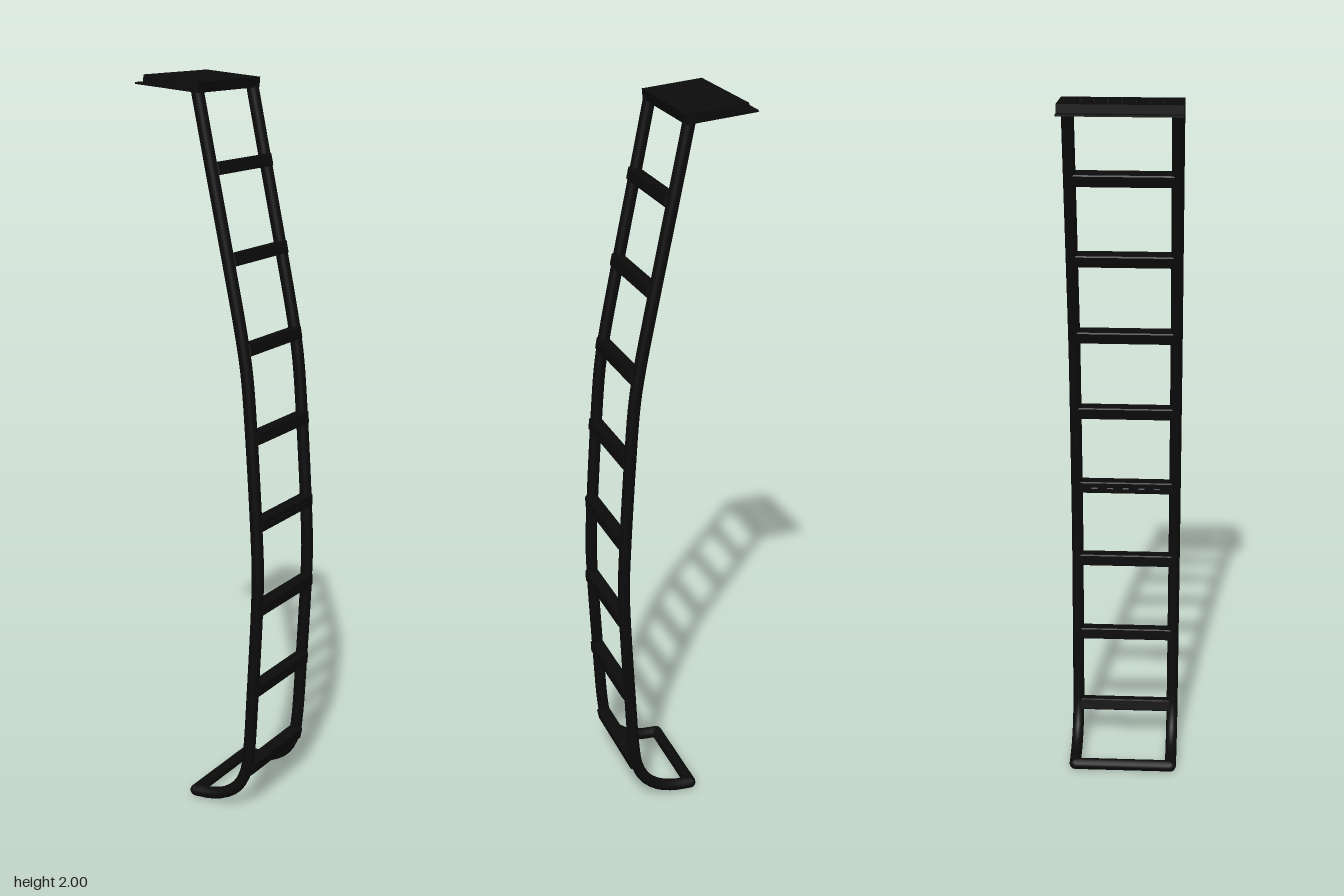
import * as THREE from 'three';

const paint = new THREE.MeshStandardMaterial({ color: 0x0b0b0b, side: THREE.DoubleSide });
const RAIL_Z = 0.141, RAIL_R = 0.0165;

function add(parent, name, geometry, x = 0, y = 0, z = 0) {
  const mesh = new THREE.Mesh(geometry, paint);
  mesh.name = name;
  mesh.position.set(x, y, z);
  parent.add(mesh);
  return mesh;
}

// Capsule-shaped hole, long in x
function slot(cx, cy, length, width) {
  const r = width / 2, h = length / 2 - r;
  const p = new THREE.Path();
  p.absarc(cx + h, cy, r, -Math.PI / 2, Math.PI / 2, false);
  p.absarc(cx - h, cy, r, Math.PI / 2, Math.PI * 1.5, false);
  p.closePath();
  return p;
}

function rectangle(x0, x1, y0, y1) {
  return new THREE.Shape([[x0, y0], [x1, y0], [x1, y1], [x0, y1]].map(([x, y]) => new THREE.Vector2(x, y)));
}

// Square bar across the ladder, optionally pierced by fine slots
function rungGeometry(pierced) {
  const shape = rectangle(-0.14, 0.14, -0.014, 0.014);
  if (pierced) for (let i = -2; i <= 2; i++) shape.holes.push(slot(i * 0.045, 0, 0.022, 0.006));
  const g = new THREE.ExtrudeGeometry(shape, {
    depth: 0.03, bevelThickness: 0.003, bevelSize: 0.003, bevelSegments: 1, curveSegments: 6,
  });
  return g.translate(0, 0, -0.015).rotateY(Math.PI / 2);
}

export function createModel() {
  const ladder = new THREE.Group();
  ladder.name = 'ladder';

  // Bowed side profile of the rails, from the platform to the curled foot
  const curve = new THREE.CatmullRomCurve3([
    [-0.018, 1.975], [0.023, 1.78], [0.075, 1.535], [0.116, 1.335], [0.132, 1.235], [0.146, 1.07],
    [0.163, 0.8], [0.167, 0.7], [0.165, 0.6], [0.153, 0.36], [0.141, 0.17], [0.132, 0.115],
    [0.108, 0.068], [0.07, 0.038], [0.025, 0.023], [-0.03, 0.0185],
  ].map(([x, y]) => new THREE.Vector3(x, y, 0)), false, 'centripetal');

  for (const side of [1, -1]) {
    const rail = side > 0 ? 'leftRail' : 'rightRail';
    add(ladder, rail, new THREE.TubeGeometry(curve, 100, RAIL_R, 12), 0, 0, side * RAIL_Z);
    add(ladder, 'footCorner', new THREE.SphereGeometry(RAIL_R, 12, 8), -0.03, 0.0185, side * RAIL_Z);
  }
  // Bar closing the foot
  const foot = new THREE.CylinderGeometry(RAIL_R, RAIL_R, RAIL_Z * 2, 12).rotateX(Math.PI / 2);
  add(ladder, 'footBar', foot, -0.03, 0.0185, 0);

  // Rungs follow the tilt of the rails
  const samples = curve.getPoints(400);
  [1.766, 1.535, 1.304, 1.07, 0.835, 0.6, 0.362, 0.127].forEach((y, i) => {
    const k = samples.findIndex((p) => p.y < y);
    const a = samples[k - 1], b = samples[k];
    const rung = add(ladder, 'rung', rungGeometry(i === 4), b.x + 0.003, y, 0);
    rung.rotation.z = Math.atan2(b.x - a.x, a.y - b.y);
    if (i === 4) rung.rotation.z = 0;
  });

  // Slightly sloping platform: slotted sheet with folded skirts
  const platform = new THREE.Group();
  platform.name = 'platform';
  platform.position.set(0, 1.984, 0);
  platform.rotation.z = -0.09;
  ladder.add(platform);

  const sheet = rectangle(-0.168, 0, -0.157, 0.157);
  for (let i = -3; i <= 3; i++) sheet.holes.push(slot(-0.087, i * 0.035, 0.07, 0.011));
  const sheetGeo = new THREE.ExtrudeGeometry(sheet, { depth: 0.007, bevelEnabled: false, curveSegments: 8 });
  add(platform, 'platformSheet', sheetGeo.rotateX(Math.PI / 2));
  for (const side of [1, -1]) {
    add(platform, 'sideSkirt', new THREE.BoxGeometry(0.168, 0.027, 0.007), -0.084, -0.0135, side * 0.1535);
  }
  for (const x of [-0.1645, -0.0035]) {
    add(platform, 'endSkirt', new THREE.BoxGeometry(0.007, 0.027, 0.314), x, -0.0135, 0);
  }
  // Thin mounting lip along the outer end
  add(platform, 'mountingLip', new THREE.BoxGeometry(0.026, 0.005, 0.314), -0.179, -0.0245, 0);

  return ladder;
}
